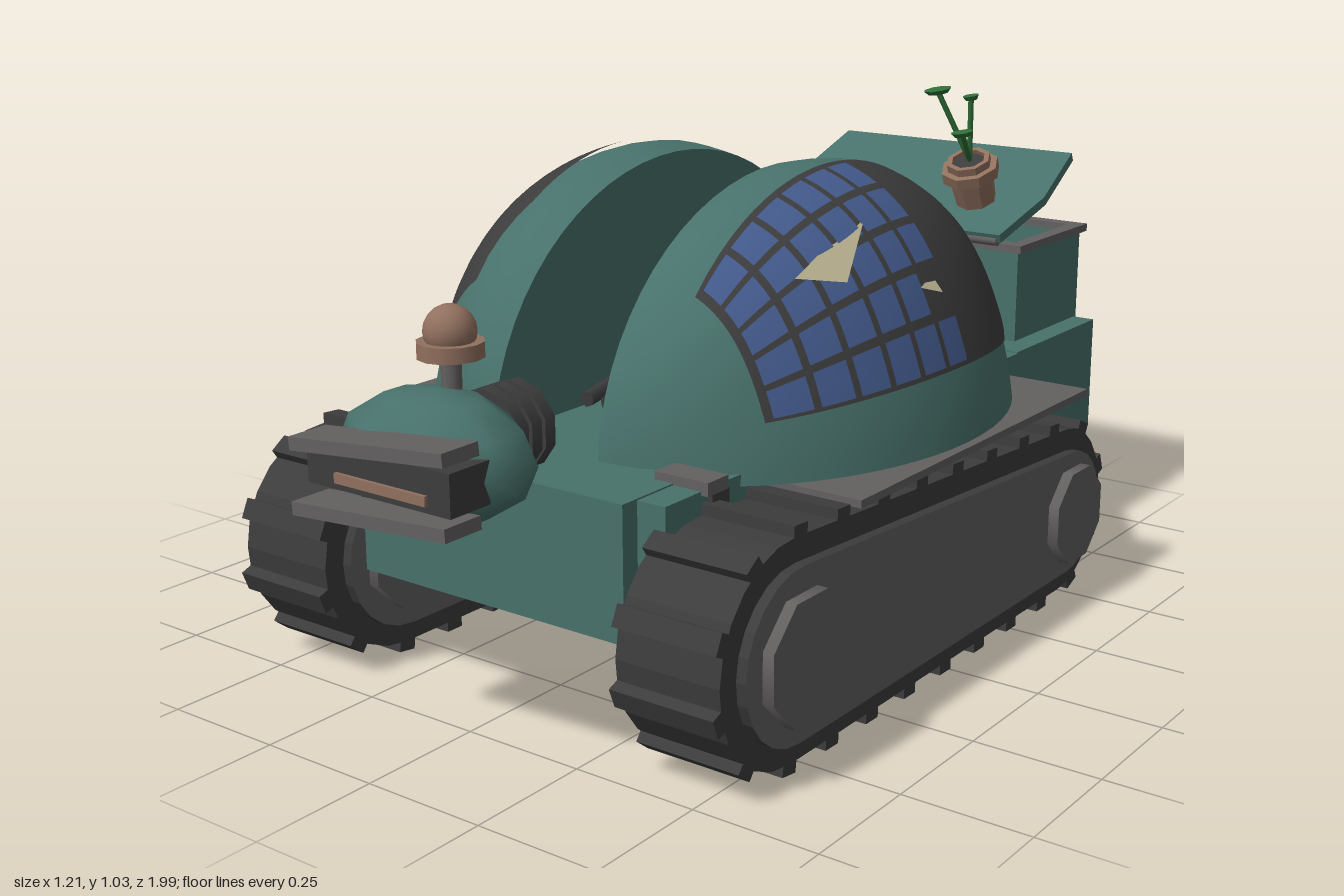
import * as THREE from 'three';

const mat = (name, color, side = THREE.FrontSide) => {
  const m = new THREE.MeshStandardMaterial({ color, side });
  m.name = name;
  return m;
};

export function createModel() {
  const teal = mat('teal paint', 0x48716b), rubber = mat('dark rubber', 0x3d3c3c);
  const steel = mat('grey steel', 0x636060), blue = mat('solar blue', 0x435a8c);
  const beige = mat('beige', 0xa8a183, THREE.DoubleSide), pink = mat('faded red', 0x95555f, THREE.DoubleSide);
  const clay = mat('clay', 0x91705f), green = mat('leaf green', 0x2f6f38, THREE.DoubleSide);

  const root = new THREE.Group();
  const add = (name, geo, material, parent = root) => {
    const m = new THREE.Mesh(geo, material);
    m.name = name;
    parent.add(m);
    return m;
  };
  // box from its minimum and maximum corners
  const box = (name, material, [x0, x1], [y0, y1], [z0, z1]) => {
    const g = new THREE.BoxGeometry(x1 - x0, y1 - y0, z1 - z0);
    g.translate((x0 + x1) / 2, (y0 + y1) / 2, (z0 + z1) / 2);
    return add(name, g, material);
  };
  // cylinder between two points
  const rod = (name, material, a, b, r, sides = 8) => {
    const p = new THREE.Vector3(...a), q = new THREE.Vector3(...b), d = q.clone().sub(p);
    const m = add(name, new THREE.CylinderGeometry(r, r, d.length(), sides), material);
    m.position.copy(p).add(q).multiplyScalar(0.5);
    m.quaternion.setFromUnitVectors(new THREE.Vector3(0, 1, 0), d.normalize());
    return m;
  };

  // hull
  box('hull', teal, [-0.31, 0.31], [0.22, 0.475], [-0.97, 0.69]);
  box('hullSides', teal, [-0.37, 0.37], [0.27, 0.472], [-0.6, 0.65]);
  box('rearHull', teal, [-0.37, 0.37], [0.22, 0.475], [-0.97, -0.6]);
  box('bellyPlate', rubber, [-0.275, 0.275], [0.195, 0.22], [-0.88, 0.62]);

  // tracks: tapered loop around a big front wheel and a small rear wheel
  const wheels = [{ z: 0.555, y: 0.225, r: 0.205, hub: 0.122 }, { z: -0.45, y: 0.195, r: 0.175, hub: 0.105 }];
  const loop = (inset) => {
    const top = Math.PI / 2 + 0.06, pts = [];
    const arc = (w, a0, a1) => {
      for (let i = 0; i <= 12; i++) {
        const a = a0 + (a1 - a0) * i / 12;
        pts.push(new THREE.Vector2(w.z + Math.cos(a) * (w.r - inset), w.y + Math.sin(a) * (w.r - inset)));
      }
    };
    arc(wheels[0], -Math.PI / 2, top);
    arc(wheels[1], top, Math.PI * 1.5);
    return pts;
  };
  const extrudeX = (shape, width) => new THREE.ExtrudeGeometry(shape, { depth: width, bevelEnabled: false })
    .translate(0, 0, -width / 2).rotateY(-Math.PI / 2);
  const beltGeo = extrudeX(new THREE.Shape(loop(0)), 0.215);
  const plateGeo = extrudeX(new THREE.Shape(loop(0.045)), 0.255);
  const padPath = new THREE.Path(loop(0));
  padPath.closePath();
  for (const s of [-1, 1]) {
    const track = new THREE.Group();
    track.name = s > 0 ? 'leftTrack' : 'rightTrack';
    track.position.x = s * 0.455;
    root.add(track);
    add('trackBelt', beltGeo, rubber, track);
    add('sidePlate', plateGeo, [steel, rubber], track);
    for (const w of wheels) {
      const hub = add('wheelHub', new THREE.CylinderGeometry(w.hub, w.hub, 0.3, 8).rotateZ(Math.PI / 2), steel, track);
      hub.position.set(0, w.y, w.z);
      hub.rotation.x = Math.PI / 8;
    }
    for (let i = 0; i < 24; i++) {
      const p = padPath.getPointAt(i / 24), t = padPath.getTangentAt(i / 24);
      const pad = add('trackPad', new THREE.BoxGeometry(0.215, 0.04, 0.04), rubber, track);
      pad.position.set(0, p.y, p.x);
      pad.rotation.x = -Math.atan2(t.y, t.x);
    }
    // fender and front clamps
    const span = (a, b) => (s > 0 ? [a, b] : [-b, -a]);
    box('fender', steel, span(0.35, 0.575), [0.43, 0.445], [-0.52, 0.36]);
    box('fenderClamp', steel, span(0.27, 0.385), [0.465, 0.49], [0.49, 0.55]);
    box('clampFoot', rubber, span(0.35, 0.38), [0.43, 0.465], [0.48, 0.53]);
  }

  // half domes with a slightly flattened flank, the second turned half round
  const A = 0.44, B = 0.508, C = 0.565, X0 = 0.125, Y0 = 0.45, DIP = 0.02;
  const domePoint = (t, z, lift = 0) => {
    const k = Math.sqrt(Math.max(0, 1 - (z / C) ** 2)), s = Math.sin(t);
    return [X0 + k * ((A + lift) * s + 0.015 * Math.sin(4 * t)),
      Y0 + k * ((B + lift) * Math.cos(t) - DIP * Math.max(0, 1 - s / 0.17)), z * (1 + lift)];
  };
  const panelPoint = (s, z, lift) => {
    const k = Math.sqrt(1 - (z / C) ** 2);
    const t0 = Math.asin(0.105 / (A * k)), t1 = Math.acos((0.085 + 0.055 * k * k) / (B * k));
    return domePoint(t0 + (t1 - t0) * s, z, lift);
  };
  const surface = (n, m, pointAt) => {
    const pos = [], idx = [];
    for (let i = 0; i <= n; i++) for (let j = 0; j <= m; j++) pos.push(...pointAt(i / n, j / m));
    for (let i = 0; i < n; i++) for (let j = 0; j < m; j++) {
      const a = i * (m + 1) + j, b = a + m + 1;
      idx.push(a, b, a + 1, b, b + 1, a + 1);
    }
    const g = new THREE.BufferGeometry();
    g.setAttribute('position', new THREE.Float32BufferAttribute(pos, 3));
    g.setIndex(idx);
    g.computeVertexNormals();
    return g;
  };
  const domeGeo = surface(32, 20, (u, v) => domePoint(v * Math.PI / 2, -C * Math.cos(u * Math.PI)));
  const wallGeo = new THREE.CircleGeometry(1, 32, 0, Math.PI).rotateY(-Math.PI / 2).scale(1, B - DIP, C).translate(X0, Y0, 0);
  for (const [side, turn, shift] of [['left', 0, 0], ['right', Math.PI, -0.03]]) {
    const half = new THREE.Group();
    half.name = side + 'Dome';
    half.position.z = -0.035;
    half.rotation.y = turn;
    root.add(half);
    add('domeShell', domeGeo, teal, half);
    add('domeInnerWall', wallGeo, teal, half);
    // backing with rounded corners at its dark end
    add('panelBacking', surface(24, 24, (u, v) => {
      const trim = 0.14 * Math.max(0, 1 - u * 6);
      return panelPoint(trim + (1 - 2 * trim) * v, -0.41 + shift + 0.835 * u, 0.008);
    }), rubber, half);
    for (let c = 0; c < 6; c++) for (let r = 0; r < 5; r++) {
      if (c === 0 && r === 3) continue;
      const z = -0.03 + shift + c * 0.075, s = 0.02 + r * 0.196;
      add('solarCell', surface(3, 3, (u, v) => panelPoint(s + 0.018 + 0.16 * v, z + 0.006 + 0.062 * u, 0.012)), blue, half);
    }
  }

  // loose scraps lying on the domes
  const scrap = (name, material, ...p) => {
    const g = new THREE.BufferGeometry();
    g.setAttribute('position', new THREE.Float32BufferAttribute(p.flat(), 3));
    g.setIndex(p.length === 4 ? [0, 1, 2, 0, 2, 3] : [0, 1, 2]);
    g.computeVertexNormals();
    add(name, g, material);
  };
  scrap('largeShard', beige, [0.36, 0.89, 0.01], [0.475, 0.8, 0.26], [0.385, 0.8, 0.29]);
  scrap('smallShard', beige, [0.46, 0.755, -0.06], [0.52, 0.74, 0], [0.49, 0.75, 0.03]);
  scrap('redScrap', pink, [-0.52, 0.76, -0.44], [-0.31, 0.735, -0.48], [-0.34, 0.805, -0.36], [-0.48, 0.735, -0.18]);

  // rear bin, open on top
  box('binBody', teal, [-0.32, 0.32], [0.22, 0.62], [-0.98, -0.68]);
  box('binFloor', steel, [-0.3, 0.3], [0.62, 0.625], [-0.96, -0.7]);
  for (const [name, m, y, o] of [['binWall', teal, [0.62, 0.68], 0], ['binRim', steel, [0.675, 0.692], 0.012]]) {
    for (const s of [-1, 1]) {
      box(name, m, s > 0 ? [0.3, 0.32 + o] : [-0.32 - o, -0.3], y, [-0.98 - o, -0.68 + o]);
      box(name, m, [-0.3, 0.3], y, s > 0 ? [-0.7, -0.68 + o] : [-0.98 - o, -0.96]);
    }
  }
  box('binBackPanel', teal, [-0.285, 0.285], [0.25, 0.64], [-0.986, -0.98]);
  box('binLatch', rubber, [0.23, 0.255], [0.31, 0.335], [-0.991, -0.986]);

  // raised lid with cut corners, and the pot plant on it
  const lidShape = new THREE.Shape([[-0.29, 0], [0.29, 0], [0.32, 0.16], [0.3, 0.345], [-0.3, 0.345], [-0.32, 0.16]]
    .map(([x, y]) => new THREE.Vector2(x, y)));
  const lid = add('binLid', new THREE.ExtrudeGeometry(lidShape, { depth: 0.02, bevelEnabled: false }).rotateX(-Math.PI / 2), teal);
  lid.position.set(0, 0.697, -0.655);
  lid.rotation.x = 0.42;
  rod('lidHinge', steel, [-0.28, 0.7, -0.66], [0.28, 0.7, -0.66], 0.012);
  const pot = new THREE.Group();
  pot.name = 'flowerPot';
  pot.position.set(0.17, 0.76, -0.76);
  pot.rotation.x = 0.42;
  root.add(pot);
  const profile = [[0, 0], [0.045, 0], [0.05, 0.07], [0.065, 0.07], [0.065, 0.095], [0.05, 0.095], [0.05, 0.112], [0.038, 0.112], [0.038, 0.095], [0, 0.095]];
  const potGeo = new THREE.LatheGeometry(profile.map(p => new THREE.Vector2(...p)), 8).toNonIndexed();
  potGeo.computeVertexNormals();
  add('pot', potGeo, clay, pot);
  add('soil', new THREE.CylinderGeometry(0.038, 0.038, 0.006, 8), rubber, pot).position.y = 0.1;
  for (const [x, y, z, r] of [[0.125, 1.015, -0.65, 0.034], [0.18, 1.0, -0.7, 0.02], [0.2, 0.93, -0.63, 0.027]]) {
    rod('stem', green, [0.17, 0.86, -0.72], [x, y, z], 0.006, 6);
    const leaf = add('leaf', new THREE.CylinderGeometry(r, r * 0.7, 0.01, 8).scale(1, 1, 0.7), green);
    leaf.position.set(x, y, z);
    leaf.rotation.set(0.2, 0, 0.15);
  }

  // head with eyelid plates, visor and lamp
  const head = add('head', new THREE.SphereGeometry(1, 8, 6).rotateY(Math.PI / 8).scale(0.2, 0.12, 0.14), teal);
  head.position.set(0, 0.535, 0.81);
  box('visor', rubber, [-0.16, 0.17], [0.495, 0.572], [0.86, 0.955]);
  box('visorSlit', clay, [-0.09, 0.12], [0.508, 0.526], [0.955, 0.962]);
  for (const [y, tilt] of [[0.592, 0.1], [0.472, 0.07]]) {
    const lidPlate = add('eyelid', new THREE.BoxGeometry(0.355, 0.024, 0.085), steel);
    lidPlate.position.set(0.02, y, 0.955);
    lidPlate.rotation.z = tilt;
  }
  rod('lampStem', steel, [0, 0.63, 0.765], [0, 0.705, 0.765], 0.018);
  rod('lampBase', clay, [0, 0.7, 0.765], [0, 0.728, 0.765], 0.06, 12);
  add('lampBulb', new THREE.SphereGeometry(0.047, 16, 10), clay).position.set(0, 0.745, 0.765);
  rod('neck', rubber, [0, 0.54, 0.59], [0, 0.54, 0.74], 0.06, 10);
  for (const z of [0.605, 0.64, 0.675]) rod('neckRing', rubber, [0, 0.54, z - 0.013], [0, 0.54, z + 0.013], 0.085, 10);

  // folded arm in the channel between the domes
  box('armPost', steel, [-0.05, 0.05], [0.47, 0.68], [-0.5, -0.44]);
  box('armShoulder', steel, [-0.095, 0.095], [0.65, 0.72], [-0.5, -0.43]);
  box('armAxle', steel, [-0.124, 0.124], [0.68, 0.705], [-0.48, -0.455]);
  for (const [x, r] of [[-0.045, 0.018], [0.045, 0.024]]) {
    rod('armRod', beige, [x, 0.63, -0.45], [x, 0.56, 0.03], r);
  }
  rod('armSleeve', rubber, [-0.045, 0.625, -0.42], [-0.045, 0.602, -0.26], 0.034);
  rod('armSleeve', rubber, [0.045, 0.583, -0.13], [0.045, 0.561, 0.02], 0.034);
  box('armElbow', steel, [-0.1, 0.1], [0.5, 0.6], [0, 0.13]);
  box('wrist', steel, [-0.045, 0.045], [0.51, 0.57], [0.13, 0.19]);
  for (const s of [-1, 1]) {
    rod('claw', rubber, [s * 0.03, 0.54, 0.19], [s * 0.036, 0.54, 0.28], 0.022, 6);
    rod('clawTip', rubber, [s * 0.036, 0.54, 0.28], [s * 0.024, 0.53, 0.38], 0.016, 6);
  }
  return root;
}
